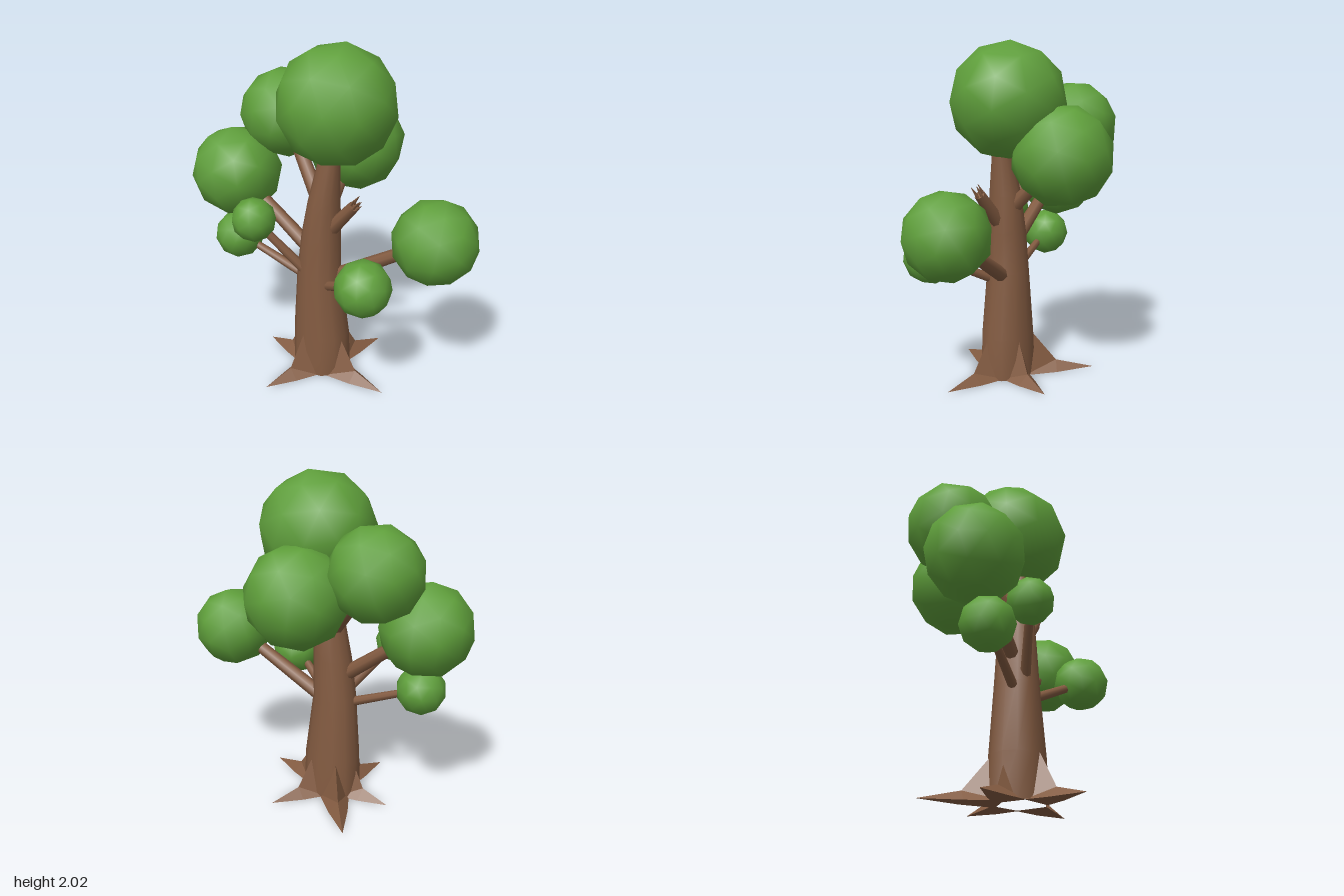
import * as THREE from 'three';

const bark = new THREE.MeshStandardMaterial({ color: 0x835b41 });
bark.name = 'bark brown';
const leaf = new THREE.MeshStandardMaterial({ color: 0x5f9f3b });
leaf.name = 'leaf green';

const V = (a) => new THREE.Vector3(...a);

function add(group, name, geometry, material) {
  const mesh = new THREE.Mesh(geometry, material);
  mesh.name = name;
  group.add(mesh);
  return mesh;
}

// Smooth trunk lofted through elliptical rings: [y, centre x, centre z, radius x, radius z]
function trunkGeometry() {
  const rings = [
    [0, -0.035, 0.115, 0.185, 0.16],
    [0.25, -0.035, 0.117, 0.178, 0.152],
    [0.65, -0.045, 0.122, 0.135, 0.127],
    [0.9, -0.03, 0.117, 0.118, 0.115],
    [1.12, -0.01, 0.112, 0.092, 0.1],
    [1.36, 0.022, 0.108, 0.064, 0.062],
    [1.5, 0.03, 0.1, 0.055, 0.055],
  ];
  const n = 12, pos = [], idx = [];
  rings.forEach(([y, cx, cz, rx, rz], j) => {
    for (let i = 0; i < n; i++) {
      const a = (i / n) * Math.PI * 2;
      pos.push(cx + Math.sin(a) * rx, y, cz + Math.cos(a) * rz);
      if (j === 0) continue;
      const k = (i + 1) % n, lo = (j - 1) * n, hi = j * n;
      idx.push(lo + i, lo + k, hi + k, lo + i, hi + k, hi + i);
    }
  });
  const g = new THREE.BufferGeometry();
  g.setAttribute('position', new THREE.Float32BufferAttribute(pos, 3));
  g.setIndex(idx);
  g.computeVertexNormals();
  return g;
}

// Ridged root running from the trunk to a sharp tip on the ground
function rootGeometry(base, tip) {
  const dir = tip.clone().sub(base).setY(0);
  const len = dir.length();
  dir.normalize();
  const side = new THREE.Vector3(dir.z, 0, -dir.x);
  const at = (r, w, y) => base.clone().addScaledVector(dir, r).addScaledVector(side, w).setY(y);
  const mid = len * 0.57;
  const top0 = at(0.125, 0, 0.29), top1 = at(mid, 0, 0.06), end = at(len, 0, 0.008);
  const l0 = at(0.11, -0.095, 0), r0 = at(0.11, 0.095, 0);
  const l1 = at(mid, -0.06, 0), r1 = at(mid, 0.06, 0);
  const faces = [
    [top0, top1, r0], [r0, top1, r1], [top1, end, r1],
    [top0, l0, top1], [l0, l1, top1], [top1, l1, end],
    [l0, r0, r1], [l0, r1, l1], [l1, r1, end],
  ];
  const g = new THREE.BufferGeometry().setFromPoints(faces.flatMap(([a, b, c]) => [a, c, b]));
  // Turn every face away from the middle of the root
  const p = g.attributes.position, centre = at(mid * 0.8, 0, 0.03);
  for (let i = 0; i < p.count; i += 3) {
    const [a, b, c] = [0, 1, 2].map((k) => new THREE.Vector3().fromBufferAttribute(p, i + k));
    const normal = b.clone().sub(a).cross(c.clone().sub(a));
    if (normal.dot(a.clone().sub(centre)) < 0) {
      p.setXYZ(i + 1, c.x, c.y, c.z);
      p.setXYZ(i + 2, b.x, b.y, b.z);
    }
  }
  g.computeVertexNormals();
  return g;
}

// Tapered limb between two points
function limb(group, name, from, to, r0, r1, sides = 8) {
  const d = to.clone().sub(from);
  const mesh = add(group, name, new THREE.CylinderGeometry(r1, r0, d.length(), sides), bark);
  mesh.position.copy(from).addScaledVector(d, 0.5);
  mesh.quaternion.setFromUnitVectors(new THREE.Vector3(0, 1, 0), d.normalize());
  return mesh;
}

export function createModel() {
  const tree = new THREE.Group();
  tree.name = 'tree';
  add(tree, 'trunk', trunkGeometry(), bark);

  // Roots
  const base = V([-0.03, 0, 0.125]);
  [[0.455, 0.17], [-0.133, 0.54], [-0.45, 0.12], [-0.4, -0.28], [0.13, -0.29]].forEach(([x, z]) =>
    add(tree, 'root', rootGeometry(base, V([x, 0, z])), bark));

  // Leaf balls with the branch that carries each: centre, radius, branch start, start and end radius
  const clumps = [
    ['crown', [0.033, 1.675, 0.052], 0.345],
    ['upperRight', [-0.445, 1.52, -0.075], 0.27, [-0.02, 1.05, 0.11], 0.048, 0.034],
    ['middleRight', [-0.625, 1.183, 0.175], 0.272, [-0.06, 0.76, 0.13], 0.046, 0.034],
    ['back', [-0.06, 1.37, -0.262], 0.298, [-0.015, 1.02, 0.09], 0.048, 0.036],
    ['middleLeft', [0.643, 0.993, -0.028], 0.245, [0, 0.61, 0.1], 0.046, 0.034],
    ['lowerLeft', [0.412, 0.79, 0.327], 0.162, [0, 0.58, 0.15], 0.03, 0.024],
    ['frontRight', [-0.34, 0.998, 0.354], 0.131, [-0.08, 0.66, 0.19], 0.032, 0.022],
    ['lowerRight', [-0.582, 0.788, 0.23], 0.148, [-0.08, 0.59, 0.14], 0.03, 0.02],
  ];
  clumps.forEach(([name, centre, radius, start, r0, r1], i) => {
    const ball = add(tree, name + 'Leaves', new THREE.IcosahedronGeometry(radius, 1), leaf);
    ball.position.set(...centre);
    ball.rotation.set(0.4 + i * 0.7, i * 1.3, 0.25);
    if (start) limb(tree, name + 'Branch', V(start), V(centre), r0, r1);
  });

  // Snapped branch with a splintered end
  const from = V([0.02, 0.93, 0.12]), to = V([0.208, 1.145, 0.125]);
  limb(tree, 'brokenBranch', from, to, 0.046, 0.033);
  const along = to.clone().sub(from).normalize();
  const across = new THREE.Vector3(along.y, -along.x, 0);
  const depth = new THREE.Vector3(0, 0, 1);
  for (let i = 0; i < 5; i++) {
    const a = (i / 5) * Math.PI * 2;
    const foot = to.clone().addScaledVector(across, Math.cos(a) * 0.02)
      .addScaledVector(depth, Math.sin(a) * 0.02).addScaledVector(along, -0.01);
    const point = foot.clone().addScaledVector(along, 0.055 + 0.025 * (i % 2))
      .addScaledVector(across, Math.cos(a) * 0.008);
    limb(tree, 'splinter', foot, point, 0.014, 0.001, 4);
  }
  return tree;
}
